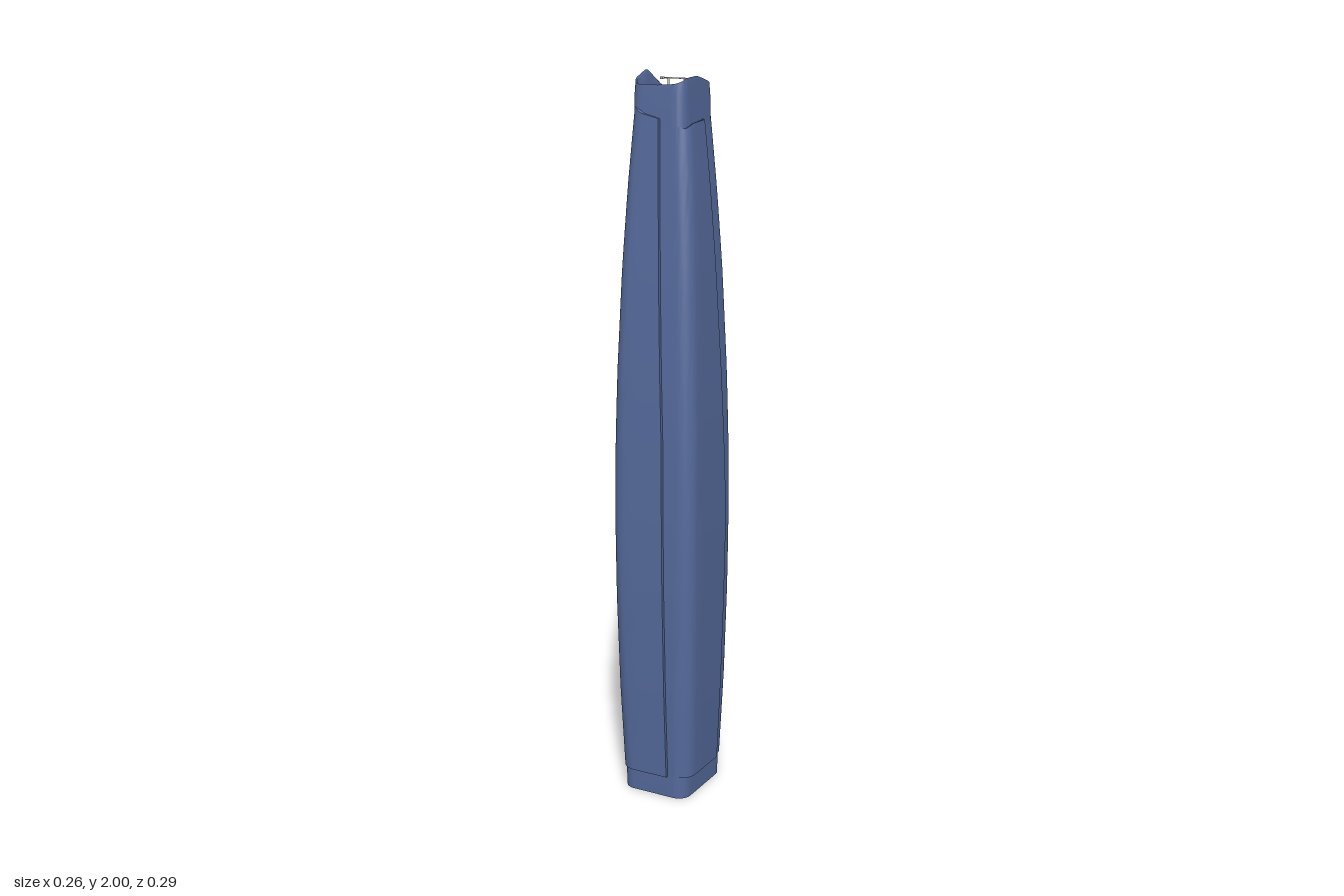
import * as THREE from 'three';
import { toCreasedNormals } from 'three/addons/utils/BufferGeometryUtils.js';

// piecewise-linear lookup in a table of [height, value]
function at(table, y) {
  for (let i = 1; i < table.length; i++) {
    const [y0, a] = table[i - 1], [y1, b] = table[i];
    if (y <= y1 || i === table.length - 1) {
      return a + (b - a) * THREE.MathUtils.clamp((y - y0) / (y1 - y0), 0, 1);
    }
  }
}

// half width, half depth and seam positions of the outer shells
const WIDTH = [[0.065, 0.113], [0.3, 0.121], [0.55, 0.126], [0.8, 0.128], [1, 0.1265],
  [1.2, 0.122], [1.5, 0.111], [1.7, 0.1], [1.85, 0.089], [1.95, 0.081]];
const DEPTH = [[0.065, 0.13], [0.3, 0.139], [0.6, 0.145], [0.8, 0.145], [1, 0.142],
  [1.2, 0.136], [1.45, 0.124], [1.65, 0.111], [1.85, 0.097], [1.95, 0.09]];
const SEAM_X = [[0.065, 0.05], [1, 0.043], [1.86, 0.01]];
const SEAM_Z = [[0.065, 0.06], [0.8, 0.077], [1.87, 0.015]];
// core: height, half width, half depth
const CORE = [[0, 0.1, 0.115], [0.065, 0.101, 0.117], [0.8, 0.11, 0.126],
  [1.5, 0.092, 0.105], [1.82, 0.079, 0.088], [1.93, 0.077, 0.086]];

// skin a list of equal-length rows of points
function loft(rows, closed) {
  const n = rows[0].length, index = [];
  for (let j = 0; j < rows.length - 1; j++) {
    for (let k = 0; k < (closed ? n : n - 1); k++) {
      const a = j * n + k, b = j * n + (k + 1) % n;
      index.push(a, a + n, b, b, a + n, b + n);
    }
  }
  const geo = new THREE.BufferGeometry();
  geo.setAttribute('position', new THREE.Float32BufferAttribute(rows.flat(2), 3));
  geo.setIndex(index);
  return toCreasedNormals(geo, 0.6);
}

function roundedRing(w, d, r) {
  const points = [];
  for (let q = 0; q < 4; q++) {
    const cx = (q === 0 || q === 3 ? 1 : -1) * (w - r);
    const cz = (q < 2 ? 1 : -1) * (d - r);
    for (let i = 0; i <= 8; i++) {
      const a = (q + i / 8) * Math.PI / 2;
      points.push([cx + r * Math.cos(a), cz + r * Math.sin(a)]);
    }
    // points along the straight side, so the crown can rise and fall there
    const next = [[-1, 1], [-1, -1], [1, -1], [1, 1]][q];
    const a = (q + 1) * Math.PI / 2, last = points[points.length - 1];
    const end = [next[0] * (w - r) + r * Math.cos(a), next[1] * (d - r) + r * Math.sin(a)];
    for (let i = 1; i < 8; i++) {
      points.push([0, 1].map(c => last[c] + (end[c] - last[c]) * i / 8));
    }
  }
  return points;
}

// uneven parapet, highest in the middle of the right-hand wall
function crownHeight(x, z) {
  const side = Math.pow(Math.min(1, Math.abs(x) / 0.075), 6);
  const rise = 1 - Math.abs(z - 0.006) / 0.095;
  return x < 0 ? 1.955 + 0.045 * side * rise : 1.953 + 0.024 * side * Math.sqrt(Math.max(0, rise));
}

// one corner shell: proud on its first face, tucked under its neighbour on the second
function shellGeometry(turn, tops) {
  const odd = turn % 2 === 1, flip = turn >= 2 ? -1 : 1;
  const [V, U, S1, S2] = odd ? [WIDTH, DEPTH, SEAM_Z, SEAM_X] : [DEPTH, WIDTH, SEAM_X, SEAM_Z];
  const bottom = 0.065, steps = 30, arc = 10, flat = 4, count = 2 * flat + arc + 3;
  const place = (k, y, inset) => {
    const v = at(V, y) - inset, u = at(U, y) - 0.01 - inset;
    const r = 0.048 - 0.014 * y / 1.9;
    const start = at(S1, y), end = at(S2, y) - 0.01;
    let p;
    if (k === 0) p = [start, v - 0.014 + inset];
    else if (k <= flat) p = [start + (-u + r - start) * (k - 1) / flat, v];
    else if (k <= flat + arc + 1) {
      const a = Math.PI / 2 * (1 + (k - flat - 1) / arc);
      p = [-u + r + r * Math.cos(a), v - r + r * Math.sin(a)];
    } else p = [-u, v - r + (end - v + r) * (k - flat - arc - 1) / (count - 1 - flat - arc - 1)];
    const [x, z] = odd ? [-p[1], p[0]] : p;
    return [flip * x, y, flip * z];
  };
  const row = (t, inset) => Array.from({ length: count }, (_, k) => {
    const s = k / (count - 1) * 2;
    const top = s < 1 ? tops[0] + (tops[1] - tops[0]) * s : tops[1] + (tops[2] - tops[1]) * (s - 1);
    return place(k, bottom + (top - bottom) * t, inset);
  });
  const rows = [row(0, 0.01)];
  for (let j = 0; j <= steps; j++) rows.push(row(j / steps, 0));
  rows.push(row(1, 0.006));
  return loft(rows, false);
}

export function createModel() {
  const blue = new THREE.MeshStandardMaterial({ color: 0x566b9d, side: THREE.DoubleSide });
  blue.name = 'blue facade';
  const grey = new THREE.MeshStandardMaterial({ color: 0xc4c4c4, side: THREE.DoubleSide });
  grey.name = 'grey roof';
  const model = new THREE.Group();
  model.name = 'tower';
  const add = (name, geometry, material, x = 0, y = 0, z = 0, parent = model) => {
    const mesh = new THREE.Mesh(geometry, material);
    mesh.name = name;
    mesh.position.set(x, y, z);
    parent.add(mesh);
    return mesh;
  };

  // hollow core with base skirt and crown
  const rows = CORE.map(([y, w, d]) =>
    roundedRing(w, d, 0.036 - 0.005 * y).map(([x, z]) => [x, y, z]));
  rows.push(roundedRing(0.075, 0.084, 0.026).map(([x, z]) => [x, crownHeight(x, z), z]));
  rows.push(roundedRing(0.072, 0.081, 0.024).map(([x, z]) => [x, crownHeight(x, z), z]));
  rows.push(roundedRing(0.072, 0.081, 0.024).map(([x, z]) => [x, 1.935, z]));
  add('core', loft(rows, true), blue);

  // four overlapping corner shells, in pinwheel order
  const shells = [
    ['frontRightShell', [1.865, 1.9, 1.88]],
    ['backRightShell', [1.87, 1.87, 1.87]],
    ['backLeftShell', [1.87, 1.92, 1.89]],
    ['frontLeftShell', [1.87, 1.842, 1.86]],
  ];
  shells.forEach(([name, tops], i) => add(name, shellGeometry(i, tops), blue));

  // roof deck
  const deck = new THREE.Shape(roundedRing(0.073, 0.082, 0.024).map(([x, z]) => new THREE.Vector2(x, -z)));
  add('roofDeck', new THREE.ShapeGeometry(deck).rotateX(-Math.PI / 2), grey, 0, 1.94, 0);

  // plant rooms on the roof
  add('plantRoomBack', new THREE.BoxGeometry(0.048, 0.006, 0.055), grey, -0.024, 1.943, -0.028);
  add('plantRoomFront', new THREE.BoxGeometry(0.048, 0.006, 0.055), grey, 0.024, 1.943, 0.027);
  add('plantRoomCentre', new THREE.BoxGeometry(0.062, 0.012, 0.075), grey, 0, 1.946, -0.002);

  // maintenance crane
  const crane = new THREE.Group();
  crane.name = 'roofCrane';
  crane.position.set(-0.008, 1.952, 0.008);
  crane.rotation.y = -0.44;
  model.add(crane);
  add('craneMast', new THREE.CylinderGeometry(0.003, 0.003, 0.022, 8), grey, 0, 0.011, 0, crane);
  add('craneArm', new THREE.BoxGeometry(0.003, 0.003, 0.076), grey, 0, 0.022, -0.016, crane);
  add('craneWeight', new THREE.BoxGeometry(0.012, 0.006, 0.006), grey, 0, 0.021, 0.021, crane);
  add('craneCradle', new THREE.BoxGeometry(0.016, 0.003, 0.003), grey, 0, 0.021, -0.054, crane);
  return model;
}
